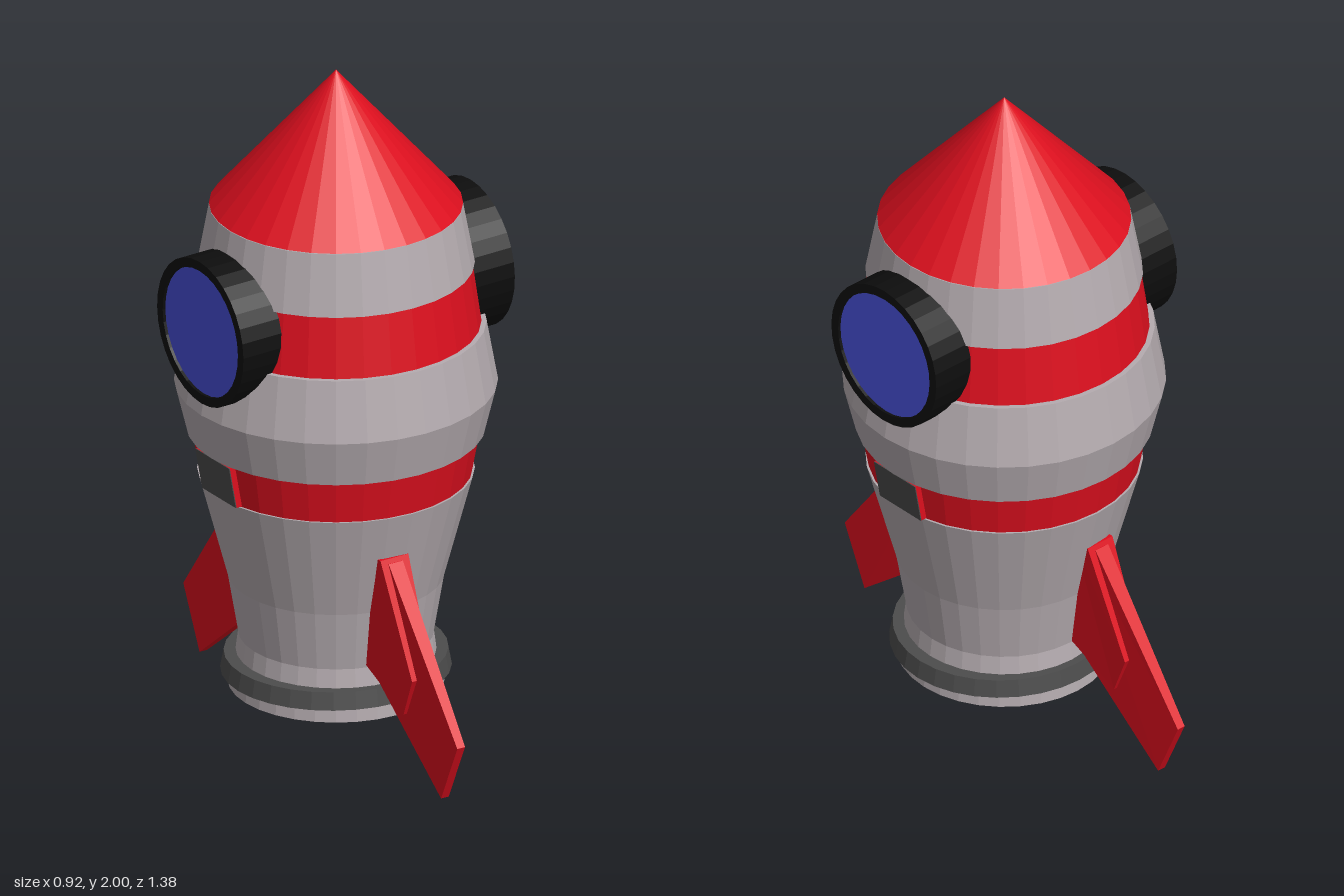
import * as THREE from 'three';

const mat = (color) => new THREE.MeshStandardMaterial({ color, flatShading: true, side: THREE.DoubleSide });
const SEGMENTS = 32;

// Turned part from [radius, height] pairs, listed bottom to top
function turned(name, profile, material) {
  const points = profile.map(([r, y]) => new THREE.Vector2(r, y));
  const mesh = new THREE.Mesh(new THREE.LatheGeometry(points, SEGMENTS), material);
  mesh.name = name;
  return mesh;
}

// Upright slab symmetric about x = 0; corners are [z, y, halfThickness]
function slab(name, corners, material) {
  const pos = [];
  const at = (i, s) => [s * corners[i][2], corners[i][1], corners[i][0]];
  const tri = (a, b, c) => pos.push(...a, ...b, ...c);
  const n = corners.length;
  for (let i = 1; i < n - 1; i++) {
    tri(at(0, 1), at(i + 1, 1), at(i, 1));
    tri(at(0, -1), at(i, -1), at(i + 1, -1));
  }
  for (let i = 0; i < n; i++) {
    const j = (i + 1) % n;
    tri(at(i, 1), at(j, 1), at(j, -1));
    tri(at(i, 1), at(j, -1), at(i, -1));
  }
  const geo = new THREE.BufferGeometry();
  geo.setAttribute('position', new THREE.Float32BufferAttribute(pos, 3));
  geo.computeVertexNormals();
  const mesh = new THREE.Mesh(geo, material);
  mesh.name = name;
  return mesh;
}

// Sloped block running along z, from an x-y outline
function block(name, outline, depth, material) {
  const shape = new THREE.Shape(outline.map(([x, y]) => new THREE.Vector2(x, y)));
  const geo = new THREE.ExtrudeGeometry(shape, { depth, bevelEnabled: false });
  geo.translate(0, 0, -depth / 2);
  const mesh = new THREE.Mesh(geo, material);
  mesh.name = name;
  return mesh;
}

export function createModel() {
  const model = new THREE.Group();
  model.name = 'rocket';
  const hull = mat(0xb5acb0);
  const red = mat(0xdd0f1e);
  const dark = mat(0x4c4c4c);
  const black = mat(0x0d0d0d);
  const blue = mat(0x4850d8);

  // Hull, from the nozzle rim to the nose
  model.add(
    turned('nozzleRim', [[0.275, 0.18], [0.275, 0.13], [0.305, 0.13], [0.3, 0.2]], hull),
    turned('nozzlePlate', [[0, 0.165], [0.278, 0.165]], dark),
    turned('lowerHull', [[0.27, 0.2], [0.282, 0.225], [0.275, 0.28], [0.305, 0.46], [0.39, 0.78], [0.3, 0.78]], hull),
    turned('lowerStripe', [[0.383, 0.775], [0.408, 0.915]], red),
    turned('middleHull', [[0.3, 0.91], [0.421, 0.91], [0.455, 1.05], [0.423, 1.23], [0.3, 1.23]], hull),
    turned('upperStripe', [[0.409, 1.225], [0.382, 1.415]], red),
    turned('upperHull', [[0.3, 1.41], [0.39, 1.41], [0.357, 1.59], [0.3, 1.59]], hull),
    turned('noseCone', [[0, 1.59], [0.357, 1.592], [0, 2]], red),
  );
  const collar = turned('baseCollar', [[0.26, 0.173], [0.33, 0.173], [0.32, 0.225], [0.26, 0.225]], dark);
  collar.scale.z = 0.955;
  model.add(collar);

  // Round windows and stripe plates, one on each side
  for (const side of [1, -1]) {
    const name = side > 0 ? 'left' : 'right';
    const porthole = new THREE.Group();
    porthole.name = name + 'Window';
    porthole.add(
      turned('windowFrame', [[0, 0.27], [0.218, 0.27], [0.218, 0.458], [0.19, 0.458], [0.19, 0.445]], black),
      turned('windowGlass', [[0.191, 0.449], [0, 0.449]], blue),
    );
    porthole.position.y = side > 0 ? 1.325 : 1.312;
    porthole.rotation.z = -side * Math.PI / 2 + 0.015;
    model.add(porthole);

    const plate = new THREE.Group();
    plate.name = name + 'StripePlate';
    plate.add(
      block('plateSides', [[0.34, 0.782], [0.392, 0.782], [0.415, 0.908], [0.34, 0.908]], 0.17, red),
      block('plateFace', [[0.392, 0.782], [0.395, 0.782], [0.418, 0.908], [0.415, 0.908]], 0.17, dark),
    );
    plate.rotation.y = side > 0 ? 0 : Math.PI;
    model.add(plate);
  }

  // Front and back fins: tapered blade with a thicker root
  for (const front of [true, false]) {
    const fin = new THREE.Group();
    fin.name = front ? 'frontFin' : 'backFin';
    fin.add(
      slab('finBlade', [[0.3, 0.63, 0.024], [0.362, 0.63, 0.024], [0.692, 0.182, 0.013], [0.61, 0, 0.013], [0.24, 0.3, 0.02]], red),
      slab('finRoot', [[0.3, 0.643, 0.047], [0.355, 0.643, 0.047], [0.495, 0.32, 0.034], [0.443, 0.2, 0.028], [0.24, 0.3, 0.036]], red),
    );
    fin.position.x = -0.04;
    fin.rotation.y = front ? 0 : Math.PI;
    model.add(fin);
  }
  return model;
}
